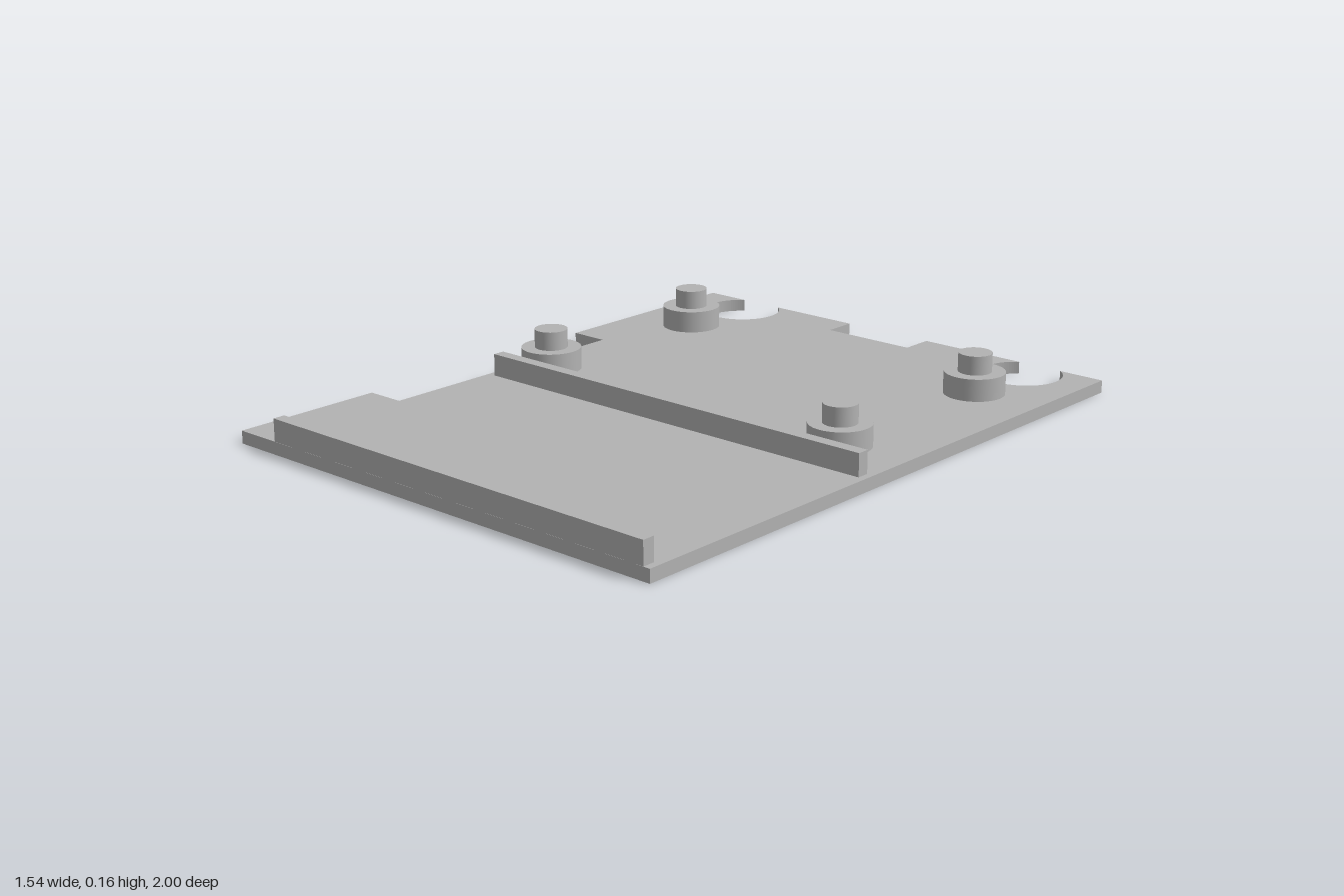
import * as THREE from 'three';

const PLATE = 0.038, STEP = 0.105, PEG = 0.162;

export function createModel() {
  const group = new THREE.Group();
  const grey = new THREE.MeshStandardMaterial({ color: 0xb2b2b2 });
  grey.name = 'plainGrey';

  const add = (name, geometry, x = 0, y = 0, z = 0) => {
    const mesh = new THREE.Mesh(geometry, grey);
    mesh.name = name;
    mesh.position.set(x, y, z);
    group.add(mesh);
    return mesh;
  };

  // Base plate outline, drawn with the back edge at +y
  const outline = new THREE.Shape();
  const holeR = 0.124, holeY = 0.9;
  const a = Math.asin((1 - holeY) / holeR);
  const backHole = (x) => outline.absarc(x, holeY, holeR, a, Math.PI - a, true);
  outline.moveTo(-0.77, -1);
  outline.lineTo(0.77, -1);
  outline.lineTo(0.77, 1);
  backHole(0.55);
  // Back edge notch
  outline.lineTo(0.127, 1);
  outline.lineTo(0.127, 0.897);
  outline.lineTo(-0.18, 0.897);
  outline.lineTo(-0.18, 1);
  backHole(-0.555);
  outline.lineTo(-0.77, 1);
  // Side notch
  outline.lineTo(-0.77, 0.327);
  outline.lineTo(-0.65, 0.327);
  outline.lineTo(-0.65, -0.528);
  outline.lineTo(-0.77, -0.528);
  outline.closePath();
  const plate = new THREE.ExtrudeGeometry(outline, { depth: PLATE, bevelEnabled: false, curveSegments: 40 });
  plate.rotateX(-Math.PI / 2);
  add('basePlate', plate);

  // Cross ribs
  const ribH = STEP - PLATE;
  for (const [name, z] of [['frontRib', 0.981], ['middleRib', 0.151]]) {
    add(name, new THREE.BoxGeometry(1.374, ribH, 0.037), 0.062, PLATE + ribH / 2, z);
  }

  // Stepped standoffs with locating pegs
  for (const x of [-0.556, 0.552]) {
    for (const z of [-0.646, -0.004]) {
      add('standoff', new THREE.CylinderGeometry(0.091, 0.091, ribH, 48), x, PLATE + ribH / 2, z);
      add('peg', new THREE.CylinderGeometry(0.05, 0.05, PEG - STEP, 40), x, (PEG + STEP) / 2, z);
    }
  }
  return group;
}
